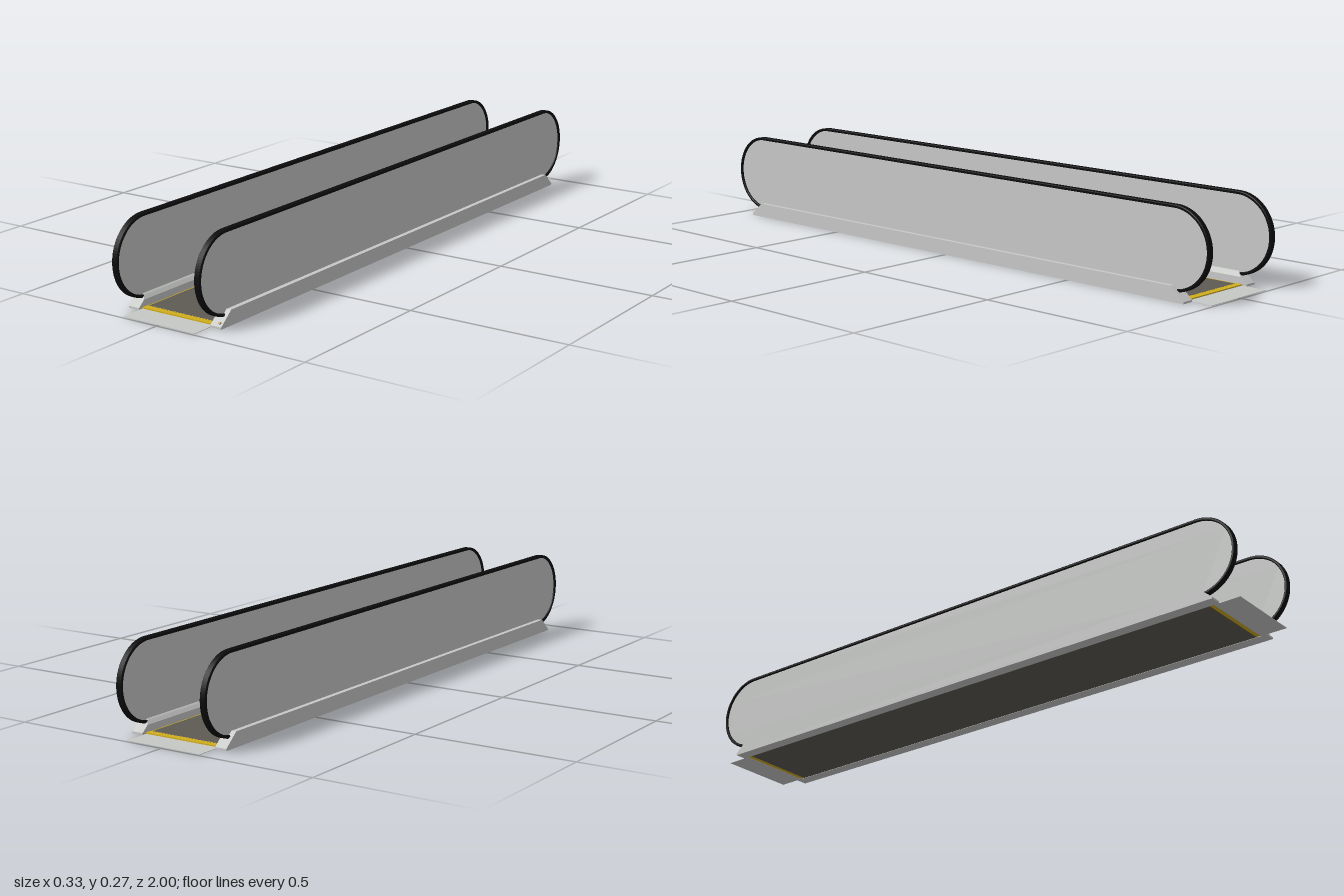
import * as THREE from 'three';

const mat = (name, color, side = THREE.FrontSide) => {
  const m = new THREE.MeshStandardMaterial({ color, side });
  m.name = name;
  return m;
};

export function createModel() {
  const steel = mat('brushed steel', 0xc6c8c6);
  const rubber = mat('black rubber', 0x0c0c0d);
  const tread = mat('belt grey', 0x5e5b54);
  const yellow = mat('safety yellow', 0xd2ae1e);

  const group = new THREE.Group();
  group.name = 'movingWalkway';
  const add = (name, geometry, material, x = 0, y = 0, z = 0) => {
    const mesh = new THREE.Mesh(geometry, material);
    mesh.name = name;
    mesh.position.set(x, y, z);
    group.add(mesh);
    return mesh;
  };
  const plate = (name, material, w, y0, y1, len, x = 0, z = 0) =>
    add(name, new THREE.BoxGeometry(w, y1 - y0, len), material, x, (y0 + y1) / 2, z);

  // Long outline with half-round ends, drawn in the z-y plane
  const endZ = 0.877, midY = 0.148;
  const outline = (Type, r) => {
    const s = new Type();
    s.moveTo(-endZ, midY - r);
    s.lineTo(endZ, midY - r);
    s.absarc(endZ, midY, r, -Math.PI / 2, Math.PI / 2, false);
    s.lineTo(-endZ, midY + r);
    s.absarc(-endZ, midY, r, Math.PI / 2, Math.PI * 1.5, false);
    return s;
  };
  const extrudeAcross = (shape, width, bevel = 0) => {
    const g = new THREE.ExtrudeGeometry(shape, {
      depth: width - 2 * bevel, curveSegments: 24, bevelEnabled: bevel > 0,
      bevelSize: bevel, bevelThickness: bevel, bevelOffset: -bevel, bevelSegments: 1,
    });
    g.translate(0, 0, -(width - 2 * bevel) / 2);
    g.rotateY(-Math.PI / 2);
    return g;
  };

  // Side skirt: upper body whose ends lean back toward the middle
  const baseTop = 0.006, baseEnd = 0.925, slope = 0.045 / 0.039;
  const skirtEnd = (y) => baseEnd - (y - baseTop) * slope;
  const skirtGeometry = (side) => {
    const profile = [[0.127, baseTop], [0.165, baseTop], [0.165, 0.045],
      [0.15, 0.045], [0.136, 0.035], [0.127, 0.025]];
    const shape = new THREE.Shape(profile.map(([x, y]) => new THREE.Vector2(side * x, y)));
    const g = new THREE.ExtrudeGeometry(shape, { depth: 1, bevelEnabled: false });
    const p = g.attributes.position;
    for (let i = 0; i < p.count; i++) {
      p.setZ(i, (p.getZ(i) > 0.5 ? 1 : -1) * skirtEnd(p.getY(i)));
    }
    g.computeVertexNormals();
    return g;
  };

  // Balustrades, handrails and skirts on both sides
  for (const side of [1, -1]) {
    const label = side > 0 ? 'left' : 'right';
    add(label + 'BalustradePanel', extrudeAcross(outline(THREE.Shape, 0.117), 0.008), steel, side * 0.145);
    const railShape = outline(THREE.Shape, 0.123);
    railShape.holes.push(outline(THREE.Path, 0.114));
    add(label + 'Handrail', extrudeAcross(railShape, 0.02, 0.002), rubber, side * 0.145);
    add(label + 'Skirt', skirtGeometry(side), steel);
    plate(label + 'SkirtBase', steel, 0.038, 0, baseTop, baseEnd * 2, side * 0.146);
    plate(label + 'EdgeStripe', yellow, 0.003, 0.003, 0.004, 1.78, side * 0.1255);
  }

  // Belt
  plate('belt', tread, 0.254, 0.001, 0.0035, 1.786);

  // Landing plates and toothed yellow combs at both ends
  for (const end of [1, -1]) {
    const label = end > 0 ? 'front' : 'back';
    plate(label + 'LandingPlate', steel, 0.254, 0, 0.0012, 0.085, 0, end * 0.95);
    const comb = new THREE.Shape();
    const teeth = 24, w = 0.254, step = w / teeth;
    comb.moveTo(-w / 2, 0.911);
    comb.lineTo(-w / 2, 0.894);
    for (let i = 0; i < teeth; i++) {
      const x = -w / 2 + i * step;
      comb.lineTo(x + step * 0.3, 0.888);
      comb.lineTo(x + step * 0.7, 0.888);
      comb.lineTo(x + step, 0.894);
    }
    comb.lineTo(w / 2, 0.911);
    const g = new THREE.ExtrudeGeometry(comb, { depth: 0.0035, bevelEnabled: false });
    g.rotateX(Math.PI / 2);
    const mesh = add(label + 'Comb', g, yellow, 0, 0.005, 0);
    if (end < 0) mesh.rotation.y = Math.PI;
  }

  // Stop button on the front end of the left skirt
  const tilt = Math.atan2(0.039, 0.045), by = 0.014;
  const ring = add('stopButtonRing', new THREE.CylinderGeometry(0.0042, 0.0042, 0.002, 20), rubber, 0.154, by, skirtEnd(by));
  const button = add('stopButton', new THREE.CylinderGeometry(0.003, 0.003, 0.004, 20), yellow, 0.154, by, skirtEnd(by));
  ring.rotation.x = button.rotation.x = tilt;

  return group;
}
